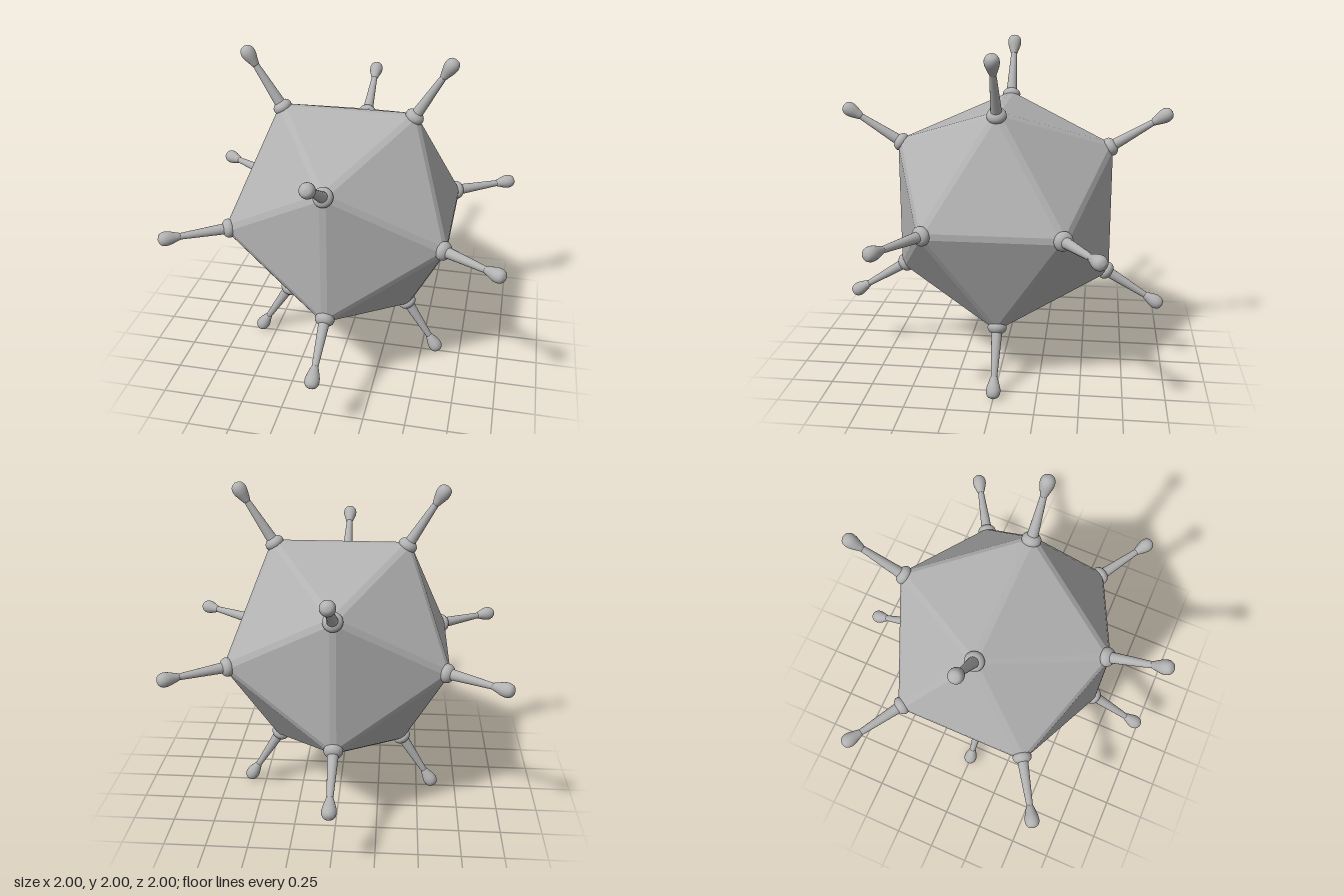
import * as THREE from 'three';
import { ConvexGeometry } from 'three/addons/geometries/ConvexGeometry.js';

const RADIUS = 0.776; // centre of the shell to its unbevelled corners
const BEVEL = 0.085;  // share by which each face shrinks to leave edge strips

const grey = new THREE.MeshStandardMaterial({ color: 0xb2b2b2 });
grey.name = 'grey';

// Twelve corner directions of the icosahedron
function cornerDirections() {
  const a = 1, b = (1 + Math.sqrt(5)) / 2, dirs = [];
  for (const s of [-1, 1]) for (const t of [-1, 1]) {
    dirs.push([s * a, t * b, 0], [0, s * a, t * b], [s * b, 0, t * a]);
  }
  return dirs.map((d) => new THREE.Vector3(...d).normalize());
}

// Shell with bevelled edges: hull of all faces, each shrunk in its plane
function shellGeometry(dirs) {
  const corners = dirs.map((d) => d.clone().multiplyScalar(RADIUS));
  const near = (p, q) => p.distanceTo(q) < RADIUS * 1.2;
  const points = [];
  for (let i = 0; i < 12; i++) for (let j = i + 1; j < 12; j++) for (let k = j + 1; k < 12; k++) {
    const face = [corners[i], corners[j], corners[k]];
    if (!near(face[0], face[1]) || !near(face[1], face[2]) || !near(face[0], face[2])) continue;
    const middle = face[0].clone().add(face[1]).add(face[2]).divideScalar(3);
    for (const c of face) points.push(c.clone().lerp(middle, BEVEL));
  }
  return new ConvexGeometry(points);
}

function part(name, geometry) {
  const mesh = new THREE.Mesh(geometry, grey);
  mesh.name = name;
  return mesh;
}

export function createModel() {
  const model = new THREE.Group();
  model.name = 'spikedIcosahedron';
  const body = new THREE.Group();
  body.name = 'body';
  body.position.y = 1;
  model.add(body);

  const dirs = cornerDirections();
  body.add(part('shell', shellGeometry(dirs)));

  // Spike parts, all along +y and measured from the shell's centre
  const collar = new THREE.SphereGeometry(0.057, 24, 16).scale(1, 0.72, 1).translate(0, 0.75, 0);
  const shaft = new THREE.CylinderGeometry(0.018, 0.034, 0.31, 16).translate(0, 0.905, 0);
  const knobProfile = new THREE.SplineCurve([
    [0, 1.03], [0.018, 1.036], [0.029, 1.065], [0.041, 1.105],
    [0.041, 1.135], [0.028, 1.158], [0, 1.168],
  ].map(([r, y]) => new THREE.Vector2(r, y))).getPoints(24);
  for (const p of knobProfile) p.x = Math.max(0, p.x);
  const knob = new THREE.LatheGeometry(knobProfile, 20);

  // One spike on every corner
  const up = new THREE.Vector3(0, 1, 0);
  for (const dir of dirs) {
    const spike = new THREE.Group();
    spike.name = 'spike';
    spike.add(part('collar', collar), part('shaft', shaft), part('knob', knob));
    spike.quaternion.setFromUnitVectors(up, dir);
    body.add(spike);
  }
  return model;
}
